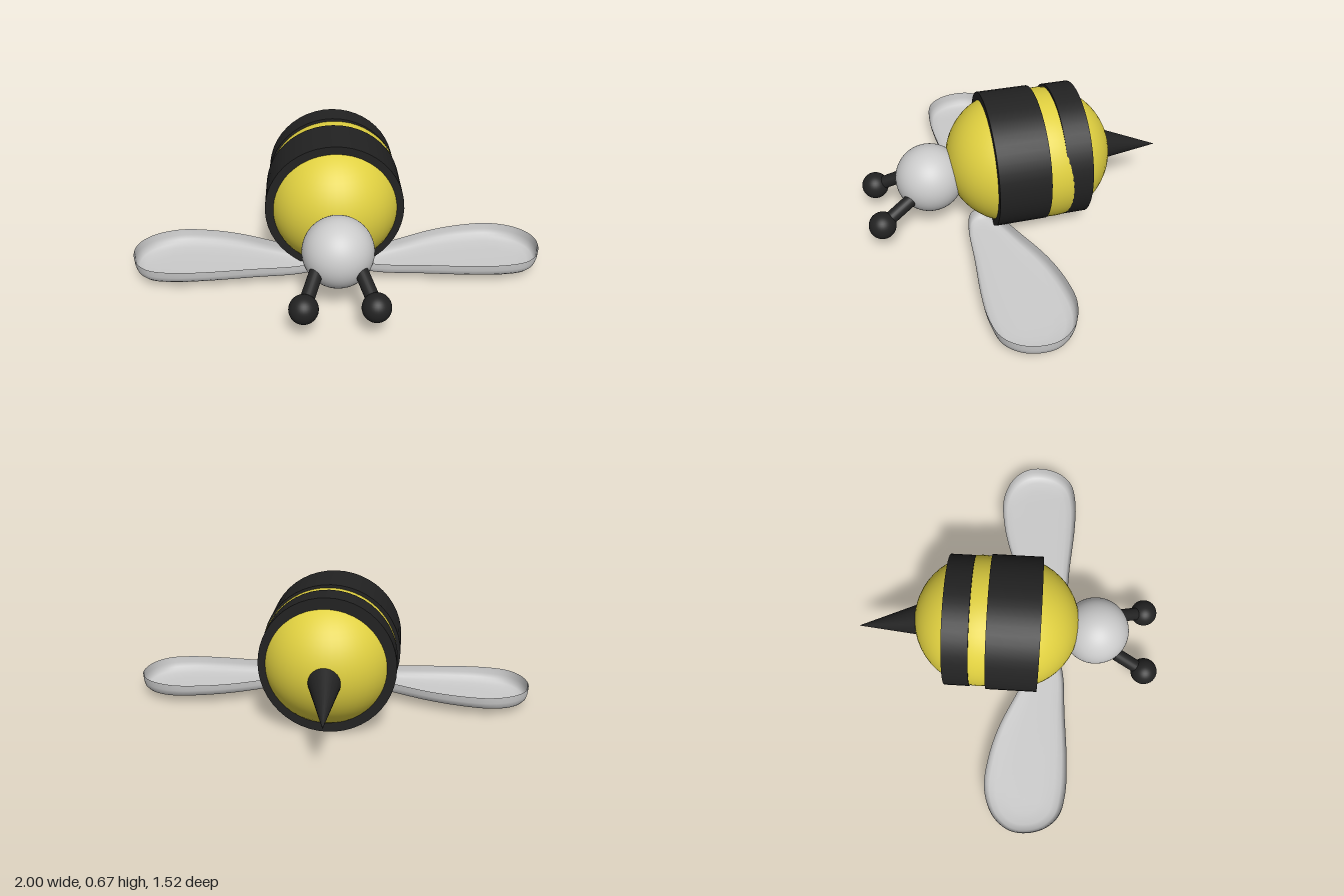
import * as THREE from 'three';

const V = (x, y, z) => new THREE.Vector3(x, y, z);
const yellow = new THREE.MeshStandardMaterial({ color: 0xe0d040 });
const black = new THREE.MeshStandardMaterial({ color: 0x222222 });
const grey = new THREE.MeshStandardMaterial({ color: 0xcccccc });
const wingGrey = new THREE.MeshStandardMaterial({ color: 0xcccccc, side: THREE.DoubleSide });

function add(parent, name, geometry, material, position = V(0, 0, 0)) {
  const mesh = new THREE.Mesh(geometry, material);
  mesh.name = name;
  mesh.position.copy(position);
  parent.add(mesh);
  return mesh;
}

// Tapered rod running from a to b
function rod(parent, name, a, b, rA, rB, material) {
  const dir = b.clone().sub(a);
  const geometry = new THREE.CylinderGeometry(rB, rA, dir.length(), 24);
  const mesh = add(parent, name, geometry, material, a.clone().add(b).multiplyScalar(0.5));
  mesh.quaternion.setFromUnitVectors(V(0, 1, 0), dir.normalize());
}

// Shallow dish: the rim outline shrinks towards a spine as it drops
function wingGeometry(side) {
  const rim = [[0.08, 0.2], [0.14, 0.14], [0.32, 0.05], [0.5, -0.03], [0.66, -0.071], [0.8, -0.079],
    [0.92, -0.035], [0.985, 0.04], [1, 0.12], [0.975, 0.22], [0.91, 0.29], [0.8, 0.318],
    [0.65, 0.32], [0.4, 0.3], [0.2, 0.285], [0.11, 0.255]];
  const curve = new THREE.CatmullRomCurve3(rim.map(([x, z]) => V(x, 0, z)), true);
  const n = 80;
  const outline = curve.getPoints(n).slice(0, n);
  const rings = [[1, 0], [0.985, 0.4], [0.95, 0.68], [0.88, 0.85], [0.72, 0.96], [0.4, 1], [0, 1]];
  const positions = [], index = [];
  rings.forEach(([scale, drop], r) => outline.forEach((p, i) => {
    const sx = THREE.MathUtils.clamp(p.x, 0.2, 0.83);
    const sz = 0.2 - 0.13 * (sx - 0.2);
    const x = sx + (p.x - sx) * scale;
    const depth = 0.055 + 0.03 * Math.min(1, x);
    positions.push(x * side, 0.11 - depth * drop, sz + (p.z - sz) * scale);
    if (r === rings.length - 1) return;
    const a = r * n + i, b = r * n + (i + 1) % n, c = a + n, d = b + n;
    if (side > 0) index.push(a, b, c, b, d, c);
    else index.push(a, c, b, b, c, d);
  }));
  const geometry = new THREE.BufferGeometry();
  geometry.setAttribute('position', new THREE.Float32BufferAttribute(positions, 3));
  geometry.setIndex(index);
  geometry.computeVertexNormals();
  return geometry;
}

export function createModel() {
  const bee = new THREE.Group();
  bee.name = 'bee';

  // Body from two overlapping balls
  const ball = (r) => new THREE.SphereGeometry(r, 48, 32);
  add(bee, 'frontBody', ball(0.324), yellow, V(-0.012, 0.335, 0.02));
  add(bee, 'rearBody', ball(0.325), yellow, V(-0.009, 0.333, -0.145));

  // Dark stripes
  for (const [name, rx, z0, z1] of [['wideStripe', 0.334, -0.1, 0.15], ['narrowStripe', 0.323, -0.305, -0.18]]) {
    const band = new THREE.CylinderGeometry(1, 1, z1 - z0, 48).rotateX(Math.PI / 2).scale(rx, 0.333, 1);
    add(bee, name, band, black, V(-0.014, 0.337, (z0 + z1) / 2));
  }

  // Head and feelers
  add(bee, 'head', ball(0.166), grey, V(-0.01, 0.28, 0.43));
  for (const [side, name] of [[1, 'left'], [-1, 'right']]) {
    const tip = V(-0.012 + 0.158 * side, 0.156, 0.69);
    rod(bee, name + 'FeelerStalk', V(-0.012 + 0.1 * side, 0.24, 0.535), tip, 0.032, 0.032, black);
    add(bee, name + 'FeelerTip', new THREE.SphereGeometry(0.066, 32, 20), black, tip);
    add(bee, name + 'Wing', wingGeometry(side), wingGrey);
  }

  // Sting
  rod(bee, 'sting', V(-0.016, 0.326, -0.42), V(-0.043, 0.25, -0.76), 0.084, 0, black);
  return bee;
}
